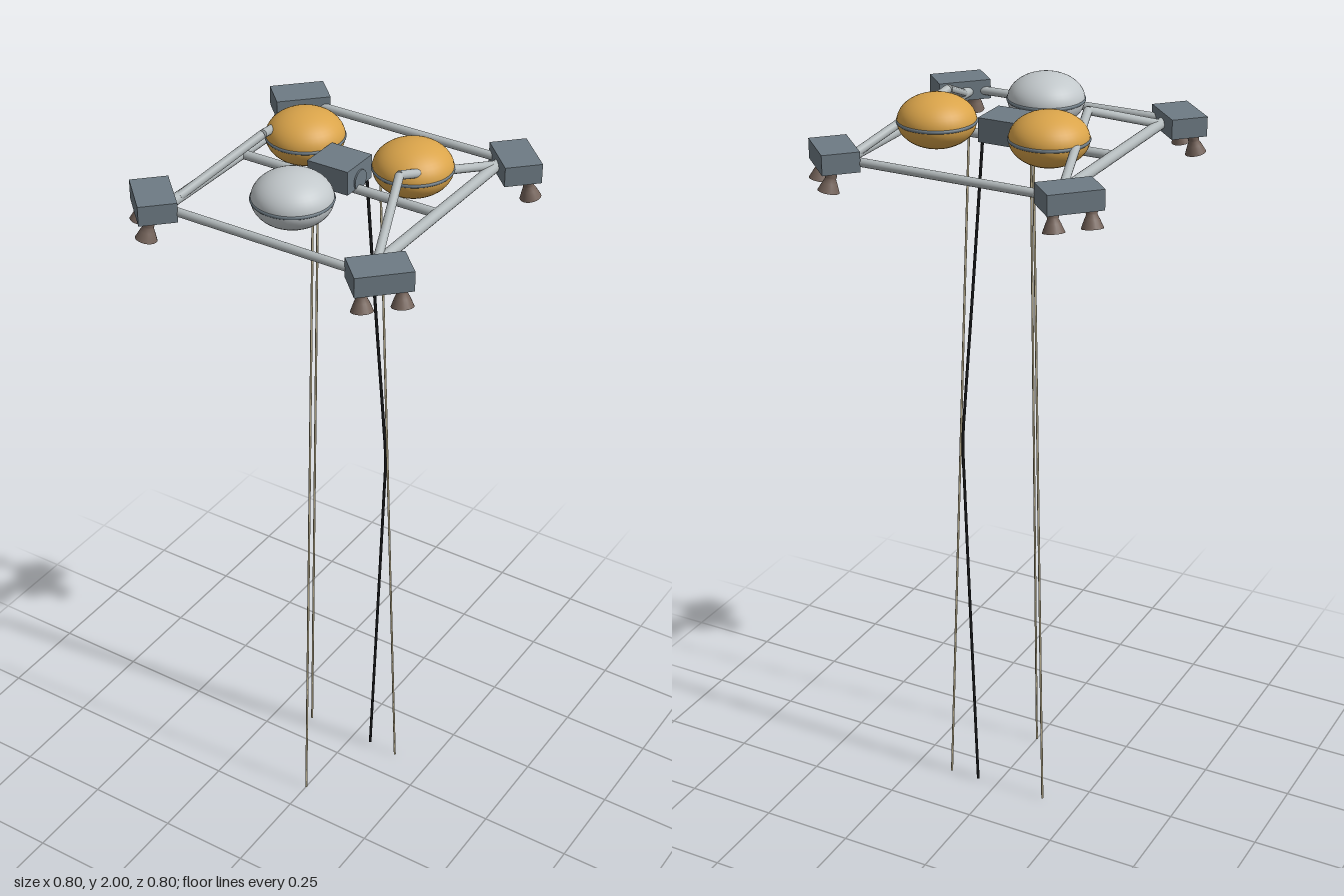
import * as THREE from 'three';

const mat = (name, color, extra = {}) => {
  const m = new THREE.MeshStandardMaterial({ color, ...extra });
  m.name = name;
  return m;
};

export function createModel() {
  const group = new THREE.Group();
  const gold = mat('gold tank', 0xdaa44a);
  const silver = mat('silver tank', 0xc2c8cb);
  const frameGrey = mat('frame grey', 0xb3babc);
  const slate = mat('slate housing', 0x6e7b84);
  const bronze = mat('bronze nozzle', 0x75645b, { side: THREE.DoubleSide });
  const cableCream = mat('cable cream', 0xc8bc9a);
  const black = mat('umbilical black', 0x17181a);

  const add = (name, geometry, material, x = 0, y = 0, z = 0, parent = group) => {
    const mesh = new THREE.Mesh(geometry, material);
    mesh.name = name;
    mesh.position.set(x, y, z);
    parent.add(mesh);
    return mesh;
  };

  // Straight round bar between two points
  const bar = (name, a, b, radius, material, sides = 16) => {
    const from = new THREE.Vector3(...a), to = new THREE.Vector3(...b);
    const dir = to.clone().sub(from);
    const mesh = add(name, new THREE.CylinderGeometry(radius, radius, dir.length(), sides), material);
    mesh.position.copy(from).add(to).multiplyScalar(0.5);
    mesh.quaternion.setFromUnitVectors(new THREE.Vector3(0, 1, 0), dir.normalize());
  };

  // Flat tubular frame
  const fy = 1.884;
  for (const s of [-1, 1]) {
    bar('endRail', [-0.28, fy, s * 0.323], [0.28, fy, s * 0.323], 0.011, frameGrey);
    bar('sideRail', [s * 0.28, fy, -0.3], [s * 0.28, fy, 0.3], 0.014, frameGrey);
  }
  bar('crossRail', [-0.272, fy, 0], [0.272, fy, 0], 0.012, frameGrey);

  // Raised A-shaped struts on each side
  for (const s of [-1, 1]) {
    const apex = [s * 0.193, 1.975, 0.033];
    bar('frontStrut', [s * 0.277, 1.888, 0.265], apex, 0.011, frameGrey);
    bar('rearStrut', apex, [s * 0.277, 1.888, -0.275], 0.011, frameGrey);
  }

  // Flattened propellant tanks with a rounded equator band
  const tank = (name, x, z, material) => {
    const g = new THREE.Group();
    g.name = name;
    g.position.set(x, 1.933, z);
    add('shell', new THREE.SphereGeometry(0.099, 40, 24), material, 0, 0, 0, g).scale.y = 0.067 / 0.099;
    add('band', new THREE.TorusGeometry(0.0962, 0.005, 12, 48), slate, 0, 0, 0, g).rotation.x = Math.PI / 2;
    group.add(g);
  };
  tank('rightTank', -0.149, -0.088, gold);
  tank('leftTank', 0.159, -0.088, gold);
  tank('frontTank', 0, 0.194, silver);

  // Central winch housing with round collars on the cross rail
  add('winchHousing', new THREE.BoxGeometry(0.114, 0.062, 0.109), slate, 0, 1.917, -0.0105);
  bar('winchDrum', [-0.061, 1.905, -0.01], [0.061, 1.905, -0.01], 0.026, slate, 24);

  // Corner thruster pods, each with two bell nozzles canted outward
  const bell = new THREE.LatheGeometry([
    [0.027, 0], [0.023, 0.01], [0.018, 0.022], [0.013, 0.032], [0.014, 0.037], [0.014, 0.053],
  ].map(([r, y]) => new THREE.Vector2(r, y)), 20);
  for (const sx of [-1, 1]) for (const sz of [-1, 1]) {
    const pod = new THREE.Group();
    pod.name = 'thrusterPod';
    pod.position.set(sx * 0.315, 1.888, sz * 0.316);
    pod.rotation.y = Math.atan2(sx, sz);
    add('podHousing', new THREE.BoxGeometry(0.14, 0.051, 0.0945), slate, 0, 0, 0, pod);
    for (const s of [-1, 1]) {
      add('nozzle', bell, bronze, s * 0.047, -0.073, 0.028, pod).rotation.x = -0.2;
    }
    group.add(pod);
  }

  // Three long bridle cables
  bar('rightCable', [-0.089, 1.895, -0.053], [-0.145, 0, -0.087], 0.003, cableCream, 8);
  bar('leftCable', [0.089, 1.895, -0.053], [0.145, 0, -0.087], 0.003, cableCream, 8);
  bar('frontCable', [0, 1.9, 0.107], [0, 0, 0.166], 0.003, cableCream, 8);

  // Slack umbilical line with a bend halfway down
  const path = new THREE.CatmullRomCurve3([
    [0.05, 1.9, -0.053], [0.075, 1.5, -0.064], [0.097, 1.17, -0.073], [0.103, 1.06, -0.076],
    [0.098, 0.92, -0.078], [0.079, 0.48, -0.084], [0.058, 0.003, -0.09],
  ].map(p => new THREE.Vector3(...p)));
  add('umbilical', new THREE.TubeGeometry(path, 48, 0.004, 8), black);

  return group;
}
